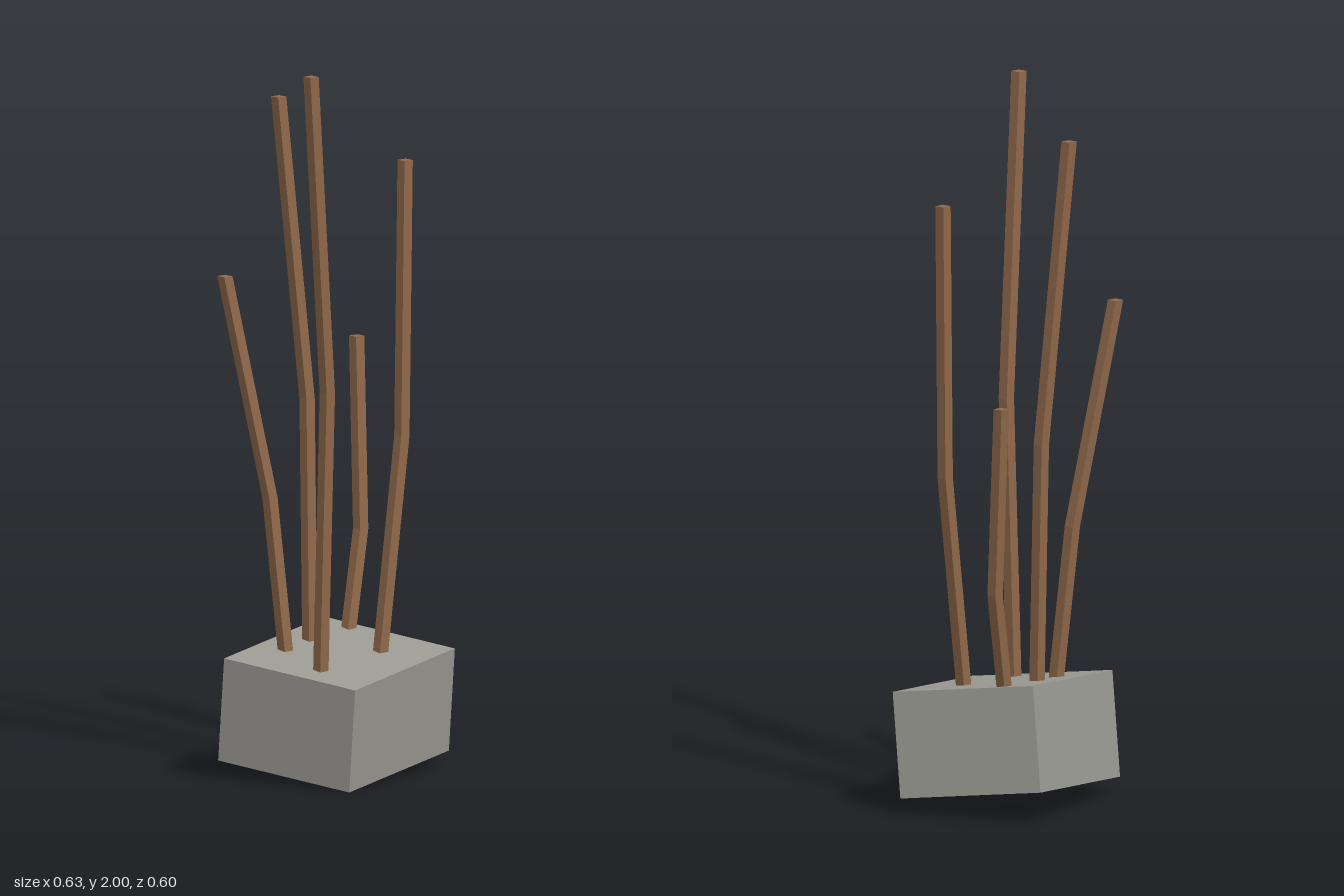
import * as THREE from 'three';

const STICK_WIDTH = 0.03;

// Base, bend and tip of each stick, as [x, y, z]
const STICKS = [
  [[-0.15, 0.315, 0.11], [-0.15, 1.1, 0.138], [-0.236, 2.0, 0.17]],
  [[-0.116, 0.34, -0.079], [-0.14, 0.775, -0.118], [-0.257, 1.4, -0.172]],
  [[0.003, 0.35, -0.117], [0.021, 1.03, -0.15], [-0.045, 1.875, -0.193]],
  [[0.167, 0.365, -0.146], [0.233, 0.64, -0.172], [0.255, 1.17, -0.215]],
  [[0.105, 0.33, 0.062], [0.19, 0.935, 0.054], [0.212, 1.7, 0.042]],
];

// A square stick whose three level rings follow the path points
function stickGeometry(path) {
  const geometry = new THREE.BoxGeometry(STICK_WIDTH, 2, STICK_WIDTH, 1, 2, 1).toNonIndexed();
  const pos = geometry.attributes.position;
  for (let i = 0; i < pos.count; i++) {
    const [x, y, z] = path[Math.round(pos.getY(i)) + 1];
    pos.setXYZ(i, pos.getX(i) + x, y, pos.getZ(i) + z);
  }
  geometry.computeVertexNormals();
  return geometry;
}

export function createModel() {
  const model = new THREE.Group();
  model.name = 'sticksInBlock';

  const stone = new THREE.MeshStandardMaterial({ color: 0x9b9a93 });
  stone.name = 'stone grey';
  const wood = new THREE.MeshStandardMaterial({ color: 0x8f684a });
  wood.name = 'wood brown';

  // Tilted stone block, oriented by its width and up directions
  const block = new THREE.Mesh(new THREE.BoxGeometry(0.512, 0.295, 0.428), stone);
  block.name = 'block';
  const across = new THREE.Vector3(0.488, 0.042, -0.151).normalize();
  const up = new THREE.Vector3(-0.012, 0.292, 0.04);
  const depth = new THREE.Vector3().crossVectors(across, up).normalize();
  up.crossVectors(depth, across);
  block.quaternion.setFromRotationMatrix(new THREE.Matrix4().makeBasis(across, up, depth));
  block.position.set(0, 0.197, 0);
  model.add(block);

  // Bent sticks standing in the block
  const sticks = new THREE.Group();
  sticks.name = 'sticks';
  STICKS.forEach((path, i) => {
    const stick = new THREE.Mesh(stickGeometry(path), wood);
    stick.name = `stick${i + 1}`;
    sticks.add(stick);
  });
  model.add(sticks);

  return model;
}
